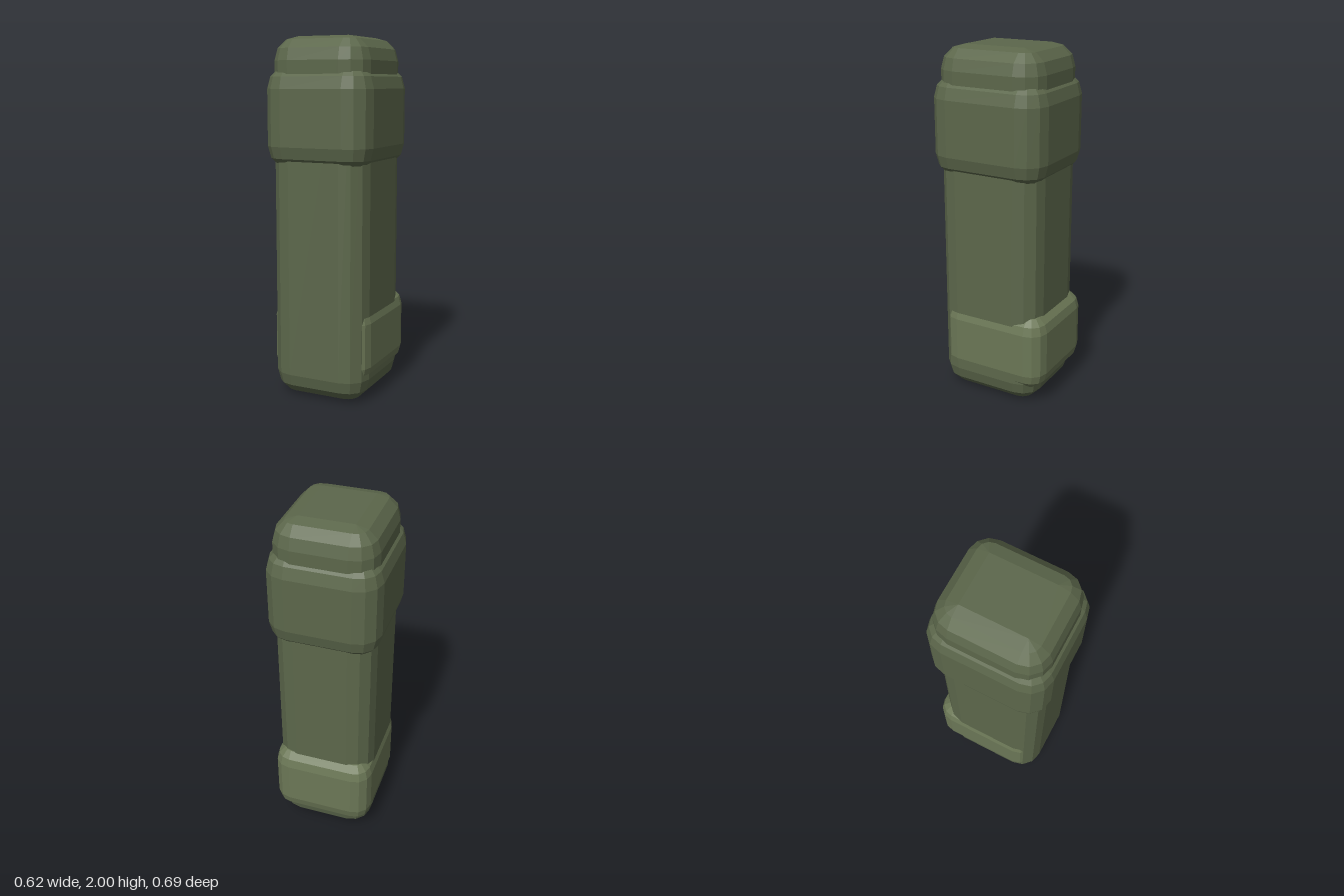
import * as THREE from 'three';

const STEPS = 3; // facets per rounded quarter

// Box with faceted round edges, stacked from rounded-rectangle rings.
function roundedBlock([x0, x1], [y0, y1], [z0, z1], r) {
  const pos = [], index = [];
  const n = 4 * (STEPS + 1), rows = 2 * (STEPS + 1);
  const quarter = Math.PI / 2;
  for (let row = 0; row < rows; row++) {
    const upper = row > STEPS;
    const lat = ((upper ? row - STEPS - 1 : row - STEPS) / STEPS) * quarter;
    const y = (upper ? y1 - r : y0 + r) + r * Math.sin(lat);
    const ringR = r * Math.cos(lat);
    for (let c = 0; c < 4; c++) {
      const cx = c === 0 || c === 3 ? x1 - r : x0 + r;
      const cz = c < 2 ? z0 + r : z1 - r;
      for (let s = 0; s <= STEPS; s++) {
        const a = (c + s / STEPS) * quarter;
        pos.push(cx + ringR * Math.cos(a), y, cz - ringR * Math.sin(a));
      }
    }
  }
  for (let row = 0; row < rows - 1; row++) {
    for (let j = 0; j < n; j++) {
      const a = row * n + j, b = row * n + ((j + 1) % n);
      index.push(a, b, b + n, a, b + n, a + n);
    }
  }
  // flat caps
  const k = STEPS + 1, t = (rows - 1) * n;
  index.push(0, 2 * k, k, 0, 3 * k, 2 * k);
  index.push(t, t + k, t + 2 * k, t, t + 2 * k, t + 3 * k);
  const geo = new THREE.BufferGeometry();
  geo.setAttribute('position', new THREE.Float32BufferAttribute(pos, 3));
  geo.setIndex(index);
  geo.computeVertexNormals();
  return geo;
}

export function createModel() {
  const group = new THREE.Group();
  const green = new THREE.MeshStandardMaterial({ color: 0x5c674b, flatShading: true });
  const paleGreen = new THREE.MeshStandardMaterial({ color: 0x6b7756, flatShading: true });

  const add = (name, material, ...block) => {
    const mesh = new THREE.Mesh(roundedBlock(...block), material);
    mesh.name = name;
    group.add(mesh);
  };

  // tall post
  add('body', green, [-0.28, 0.28], [0, 2], [-0.3, 0.32], 0.13);
  // band near the top
  add('upperCollar', green, [-0.31, 0.31], [1.28, 1.85], [-0.33, 0.35], 0.13);
  // pad wrapping the lower back and sides
  add('lowerBackPad', paleGreen, [-0.29, 0.29], [0.1, 0.55], [-0.345, 0.29], 0.1);
  return group;
}
